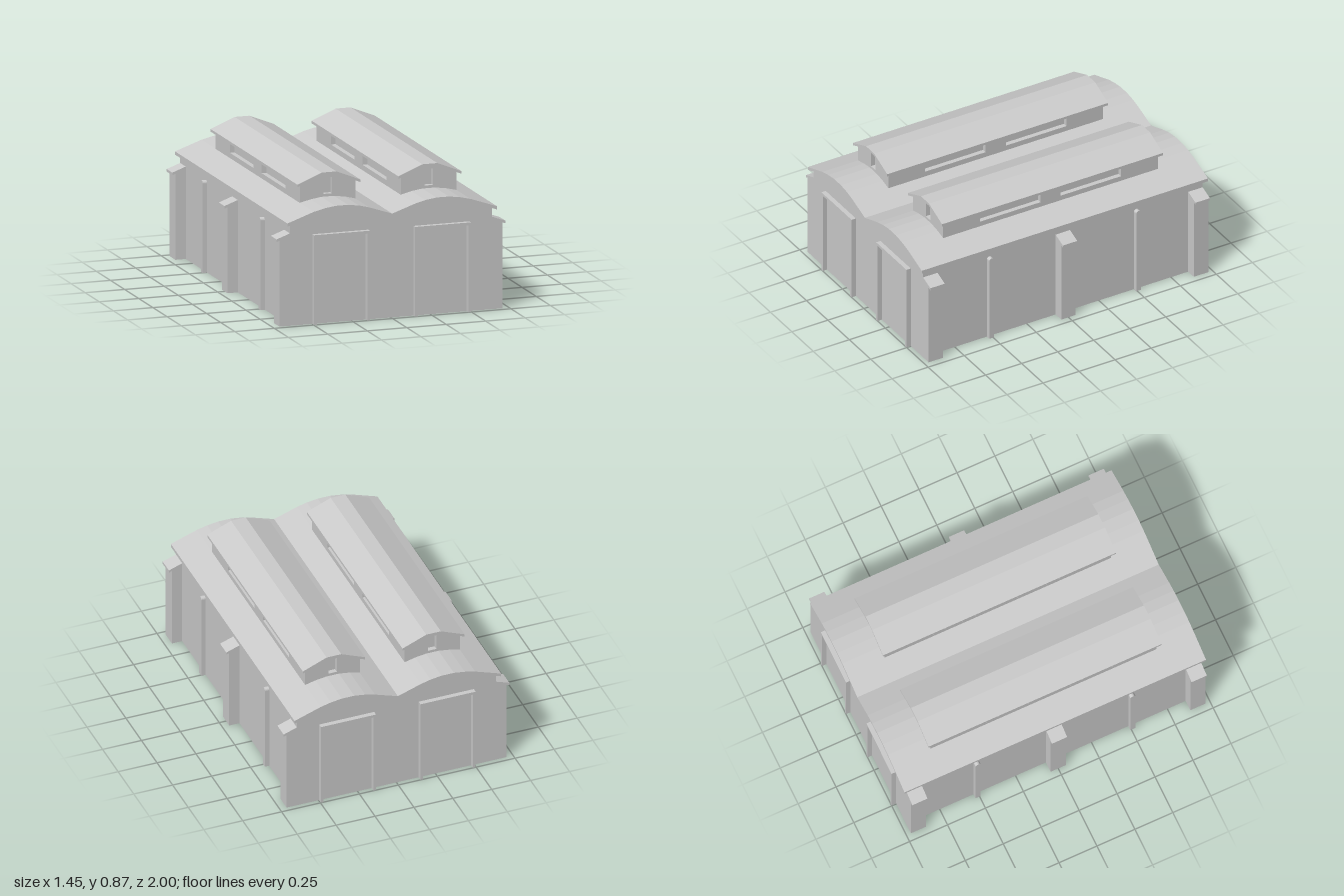
import * as THREE from 'three';

const material = new THREE.MeshStandardMaterial({ color: 0xcccccc, flatShading: true });
const BAY = 0.32; // x of each bay's centre line

const shapeOf = (points) => new THREE.Shape(points.map(([x, y]) => new THREE.Vector2(x, y)));
const rect = (x0, y0, x1, y1) => [[x0, y0], [x1, y0], [x1, y1], [x0, y1]];

// Extrude an x/y outline from z0 to z1
function prism(name, shape, z0, z1) {
  const geometry = new THREE.ExtrudeGeometry(shape, { depth: z1 - z0, bevelEnabled: false, curveSegments: 8 });
  geometry.translate(0, 0, z0);
  const mesh = new THREE.Mesh(geometry, material);
  mesh.name = name;
  return mesh;
}

// Extrude a z/y outline from x0 to x1 (symmetric outlines only)
function sidePrism(name, shape, x0, x1) {
  const mesh = prism(name, shape, x0, x1);
  mesh.geometry.rotateY(Math.PI / 2);
  return mesh;
}

// Close a roof line into a sheet of the given thickness
function sheet(line, t) {
  return shapeOf([...line, ...[...line].reverse().map(([x, y]) => [x, y - t])]);
}

// Raised ridge lantern with vents, centred on x = 0
function createLantern() {
  const lantern = new THREE.Group();
  lantern.name = 'roofLantern';
  const w = 0.177, len = 0.745, t = 0.03, base = 0.64;
  const gable = (half) => [[-half, base], [half, base], [half, 0.855 - (half - 0.047) * 0.4],
    [0.047, 0.857], [-0.047, 0.857], [-half, 0.855 - (half - 0.047) * 0.4]];

  lantern.add(prism('lanternCore', shapeOf(gable(w - t)), -len + t, len - t));

  // End gables with a small upright vent
  for (const z of [-len, len - t]) {
    const end = shapeOf(gable(w));
    end.holes.push(shapeOf(rect(-0.027, 0.735, 0.027, 0.835)));
    lantern.add(prism('lanternGable', end, z, z + t));
  }
  // Long sides with two slot vents
  for (const x of [-w, w - t]) {
    const side = shapeOf(rect(-len + t, base, len - t, 0.803));
    for (const [a, b] of [[-0.49, -0.07], [0.07, 0.49]]) side.holes.push(shapeOf(rect(a, 0.724, b, 0.783)));
    lantern.add(sidePrism('lanternSide', side, x, x + t));
  }
  const line = [[-0.2, 0.81], [-0.047, 0.872], [0.047, 0.872], [0.2, 0.81]];
  lantern.add(prism('lanternRoof', sheet(line, 0.016), -0.767, 0.767));
  return lantern;
}

// Door surround in the x/y plane, centred on x = 0
function createDoorFrame(z0, z1) {
  const o = 0.177, i = 0.16;
  return prism('doorFrame', shapeOf([[-o, 0], [-i, 0], [-i, 0.533], [i, 0.533], [i, 0], [o, 0],
    [o, 0.55], [-o, 0.55]]), z0, z1);
}

export function createModel() {
  const model = new THREE.Group();
  model.name = 'twinBayShed';

  // Twin-vault roof line, mirrored about x = 0
  const half = [[0.147, 0.692], [0.21, 0.708], [0.28, 0.718], [0.36, 0.718], [0.43, 0.708], [0.497, 0.692], [0.664, 0.634]];
  const roofLine = [...[...half].reverse().map(([x, y]) => [-x, y]), [0, 0.642], ...half];

  // Walls reach up to the middle of the roof sheet
  const inner = roofLine.slice(1, -1).map(([x, y]) => [x, y - 0.01]);
  model.add(prism('walls', shapeOf([[0.64, 0], [0.64, 0.632], ...inner.reverse(), [-0.64, 0.632], [-0.64, 0]]),
    -0.97, 0.97));
  model.add(prism('mainRoof', sheet(roofLine, 0.02), -0.993, 0.993));

  // Slim round-topped pilaster outline
  const pilaster = new THREE.Shape();
  pilaster.moveTo(-0.017, 0);
  pilaster.lineTo(0.017, 0);
  pilaster.lineTo(0.017, 0.548);
  pilaster.absarc(0, 0.548, 0.017, 0, Math.PI, false);
  pilaster.lineTo(-0.017, 0);

  for (const s of [-1, 1]) {
    const lantern = createLantern();
    lantern.position.x = s * BAY;
    model.add(lantern);

    // Doors at both ends
    for (const [z0, z1] of [[0.96, 1], [-1, -0.96]]) {
      const frame = createDoorFrame(z0, z1);
      frame.position.x = s * BAY;
      model.add(frame);
    }
    // Buttresses with sloping caps
    for (const z of [-0.92, 0, 0.92]) {
      const body = shapeOf([[s * 0.63, 0], [s * 0.706, 0], [s * 0.706, 0.533], [s * 0.63, 0.56]]);
      const cap = shapeOf([[s * 0.63, 0.552], [s * 0.725, 0.52], [s * 0.725, 0.536], [s * 0.63, 0.57]]);
      model.add(prism('buttress', body, z - 0.05, z + 0.05));
      model.add(prism('buttressCap', cap, z - 0.05, z + 0.05));
    }
    // Pilasters between the buttresses
    for (const z of [-0.51, 0.51]) {
      const strip = sidePrism('pilaster', pilaster, s > 0 ? 0.63 : -0.668, s > 0 ? 0.668 : -0.63);
      strip.position.z = z;
      model.add(strip);
    }
  }
  return model;
}
